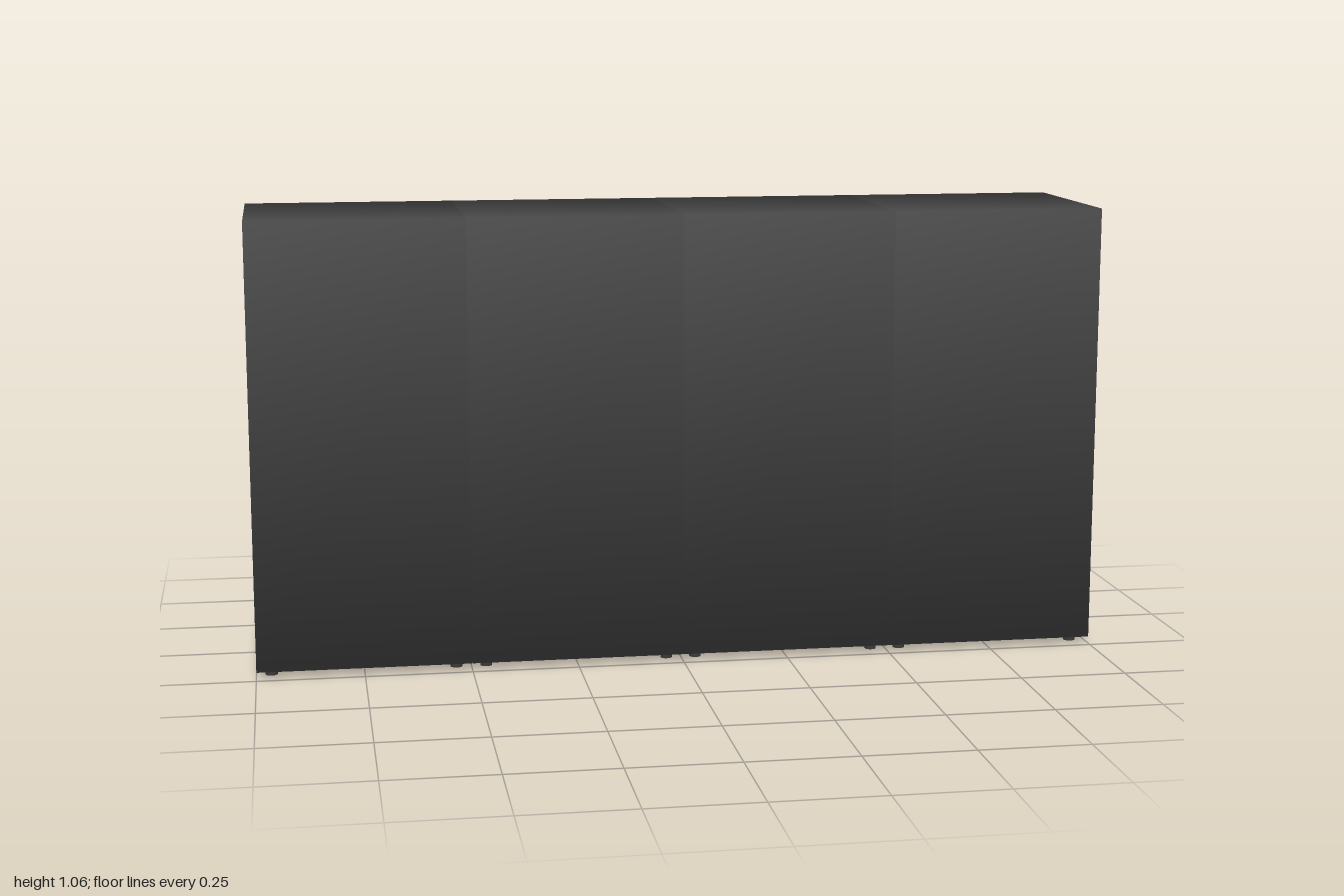
import * as THREE from 'three';
import { mergeVertices } from 'three/addons/utils/BufferGeometryUtils.js';

const shell = new THREE.MeshStandardMaterial({ name: 'charcoal shell', color: 0x4a4a4a });
const front = new THREE.MeshStandardMaterial({ name: 'tan drawer front', color: 0xa89a7e });
const metal = new THREE.MeshStandardMaterial({ name: 'silver metal', color: 0xb4b8bc });
const rubber = new THREE.MeshStandardMaterial({ name: 'dark feet', color: 0x3a3a3a });

// Box whose eight corners share smooth normals, for soft shading
function softBox(w, h, d) {
  const box = new THREE.BoxGeometry(w, h, d);
  box.deleteAttribute('normal');
  box.deleteAttribute('uv');
  const geo = mergeVertices(box);
  const p = geo.attributes.position;
  const normals = [];
  for (let i = 0; i < p.count; i++) {
    const n = new THREE.Vector3(Math.sign(p.getX(i)), Math.sign(p.getY(i)), Math.sign(p.getZ(i))).normalize();
    normals.push(n.x, n.y, n.z);
  }
  geo.setAttribute('normal', new THREE.Float32BufferAttribute(normals, 3));
  return geo;
}

function add(parent, name, geometry, material, x, y, z) {
  const mesh = new THREE.Mesh(geometry, material);
  mesh.name = name;
  mesh.position.set(x, y, z);
  parent.add(mesh);
  return mesh;
}

const BACK = -0.214; // plane of the drawer fronts
const bodyGeo = softBox(0.499, 1.043, 0.452);
const plateGeo = softBox(0.118, 0.062, 0.007);
const barGeo = softBox(0.13, 0.014, 0.011);
const postGeo = softBox(0.013, 0.012, 0.014);
const footGeo = new THREE.CylinderGeometry(0.014, 0.014, 0.02, 16);

// Drawer handle: a bar on two short posts
function makeHandle() {
  const handle = new THREE.Group();
  handle.name = 'handle';
  add(handle, 'handleBar', barGeo, metal, 0, 0, -0.0165);
  for (const s of [-1, 1]) add(handle, 'handlePost', postGeo, metal, s * 0.052, 0, -0.006);
  return handle;
}

function makeCabinet() {
  const cabinet = new THREE.Group();
  cabinet.name = 'cabinet';

  // Shell with the drawer side in its own colour
  add(cabinet, 'cabinetBody', bodyGeo, [shell, shell, shell, shell, shell, front], 0, 0.5385, 0.012);

  // Four drawers, each with a label plate above a handle
  for (let i = 0; i < 4; i++) {
    const y = 0.053 + i * 0.259;
    add(cabinet, 'labelPlate', plateGeo, metal, 0, y + 0.143, BACK - 0.0035);
    const handle = makeHandle();
    handle.position.set(0, y, BACK);
    cabinet.add(handle);
  }

  // Feet at the corners
  for (const x of [-0.215, 0.215]) {
    for (const z of [-0.182, 0.194]) add(cabinet, 'foot', footGeo, rubber, x, 0.01, z);
  }
  return cabinet;
}

export function createModel() {
  const model = new THREE.Group();
  model.name = 'filingCabinets';
  for (let i = 0; i < 4; i++) {
    const cabinet = makeCabinet();
    cabinet.position.x = -0.75 + i * 0.5;
    model.add(cabinet);
  }
  return model;
}
